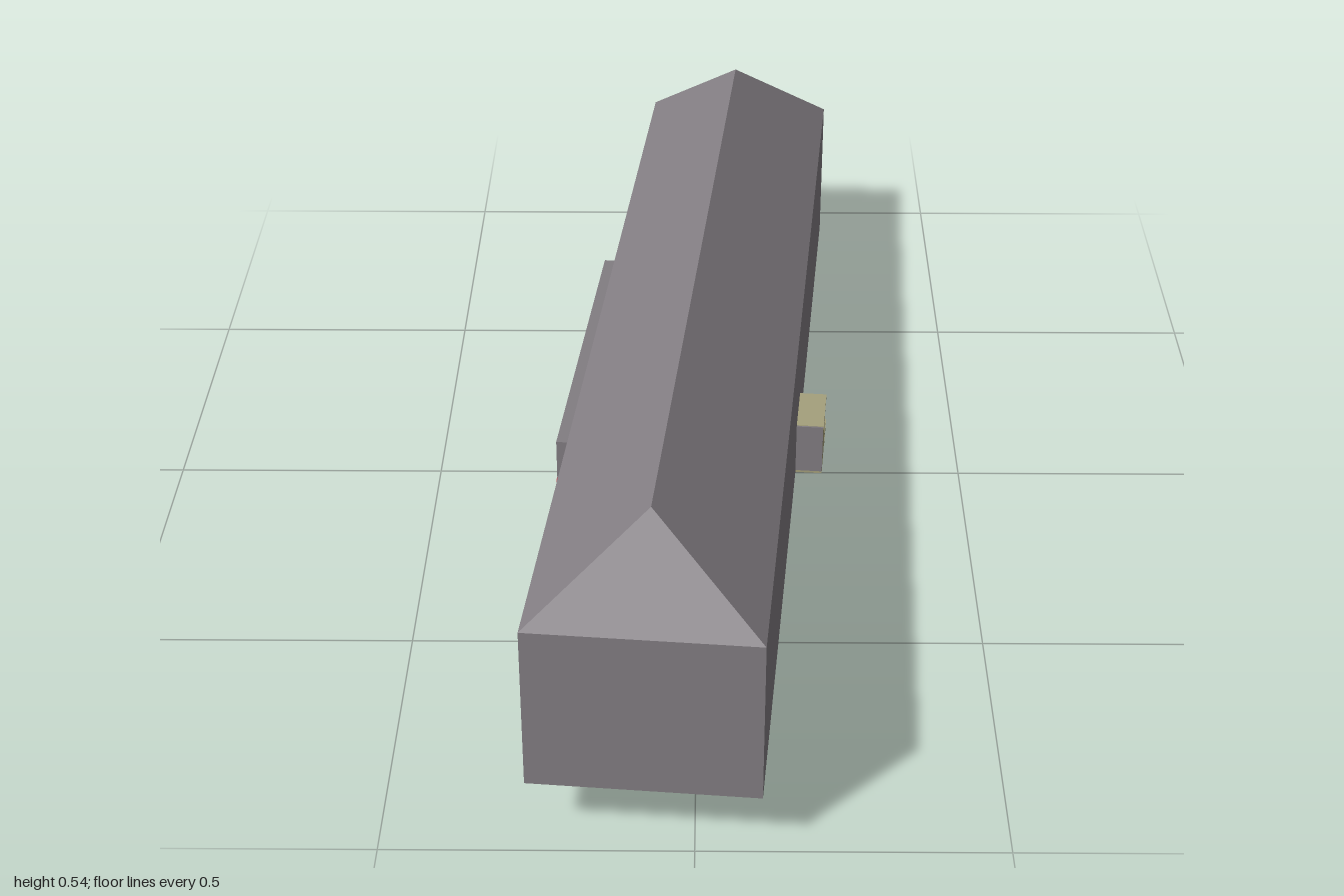
import * as THREE from 'three';

const material = (name, color) => {
  const m = new THREE.MeshStandardMaterial({ color });
  m.name = name;
  return m;
};

export function createModel() {
  const grey = material('warm grey', 0x847f84);
  const red = material('brick red', 0xc05660);
  const sand = material('sand', 0xa7a27e);
  const W = 0.1865, L = 0.9705, EAVE = 0.292, RIDGE = 0.438, RIDGE_Z = 0.832;

  const building = new THREE.Group();
  building.name = 'building';

  const add = (name, geometry, mat, parent = building) => {
    const mesh = new THREE.Mesh(geometry, mat);
    mesh.name = name;
    parent.add(mesh);
    return mesh;
  };

  // Box given by its extents on each axis
  const box = (name, [x0, x1], [y0, y1], [z0, z1], mat, parent) => {
    const mesh = add(name, new THREE.BoxGeometry(x1 - x0, y1 - y0, z1 - z0), mat, parent);
    mesh.position.set((x0 + x1) / 2, (y0 + y1) / 2, (z0 + z1) / 2);
    return mesh;
  };

  // Stair flight descending along +x from the origin, depth along +z
  const stairs = (name, run, rise, depth, count, mat, parent) => {
    const shape = new THREE.Shape();
    shape.moveTo(0, 0);
    for (let i = 0; i < count; i++) {
      const y = rise * (1 - i / count);
      shape.lineTo(run * i / count, y);
      shape.lineTo(run * (i + 1) / count, y);
    }
    shape.lineTo(run, 0);
    return add(name, new THREE.ExtrudeGeometry(shape, { depth, bevelEnabled: false }), mat, parent);
  };

  // Walls
  box('walls', [-W, W], [0, EAVE], [-L, L], grey);

  // Hipped roof: two slopes and two hips
  const a = [-W, EAVE, L], b = [W, EAVE, L], c = [W, EAVE, -L], d = [-W, EAVE, -L];
  const f = [0, RIDGE, RIDGE_Z], r = [0, RIDGE, -RIDGE_Z];
  const faces = [[a, b, f], [b, c, r], [b, r, f], [c, d, r], [d, a, f], [d, f, r]];
  const roof = new THREE.BufferGeometry();
  roof.setAttribute('position', new THREE.Float32BufferAttribute(faces.flat(2), 3));
  roof.computeVertexNormals();
  add('hippedRoof', roof, grey);

  // Long side annex with a red lower band
  const annex = new THREE.Group();
  annex.name = 'sideAnnex';
  building.add(annex);
  box('annexBody', [-0.229, -W], [0, 0.197], [-0.396, 0.292], grey, annex);
  box('redBand', [-0.231, -0.229], [0, 0.115], [-0.396, 0.292], red, annex);

  // Side entrance: porch block, overhanging roof and descending steps
  const porch = new THREE.Group();
  porch.name = 'sidePorch';
  building.add(porch);
  box('porchBody', [W, 0.236], [0, 0.097], [-0.051, 0.046], sand, porch);
  box('porchFront', [W, 0.236], [0.006, 0.103], [0.046, 0.049], grey, porch);
  box('porchDoor', [W, 0.236], [0.005, 0.097], [-0.053, -0.051], grey, porch);
  box('porchRoof', [W, 0.237], [0.097, 0.104], [-0.07, 0.046], sand, porch);
  const porchSteps = stairs('porchSteps', 0.085, 0.018, 0.05, 3, sand, porch);
  porchSteps.rotation.y = Math.PI / 2;
  porchSteps.scale.x = 1;
  porchSteps.position.set(W, 0, -0.053);

  // Rear entrance: landing, base and steps
  const rear = new THREE.Group();
  rear.name = 'rearEntrance';
  building.add(rear);
  box('rearBase', [-0.145, -0.03], [0, 0.045], [-1.005, -L], grey, rear);
  box('rearLanding', [-0.145, 0.023], [0.045, 0.051], [-1.006, -L], grey, rear);
  const rearSteps = stairs('rearSteps', 0.074, 0.044, 0.035, 4, grey, rear);
  rearSteps.rotation.y = Math.PI;
  rearSteps.position.set(-0.145, 0, -L);

  // Whole building is turned slightly and follows a gentle slope
  building.rotation.set(-0.0577, -0.083, 0, 'YXZ');
  building.position.set(0, 0.059, 0.018);

  const model = new THREE.Group();
  model.name = 'model';
  model.add(building);
  return model;
}
